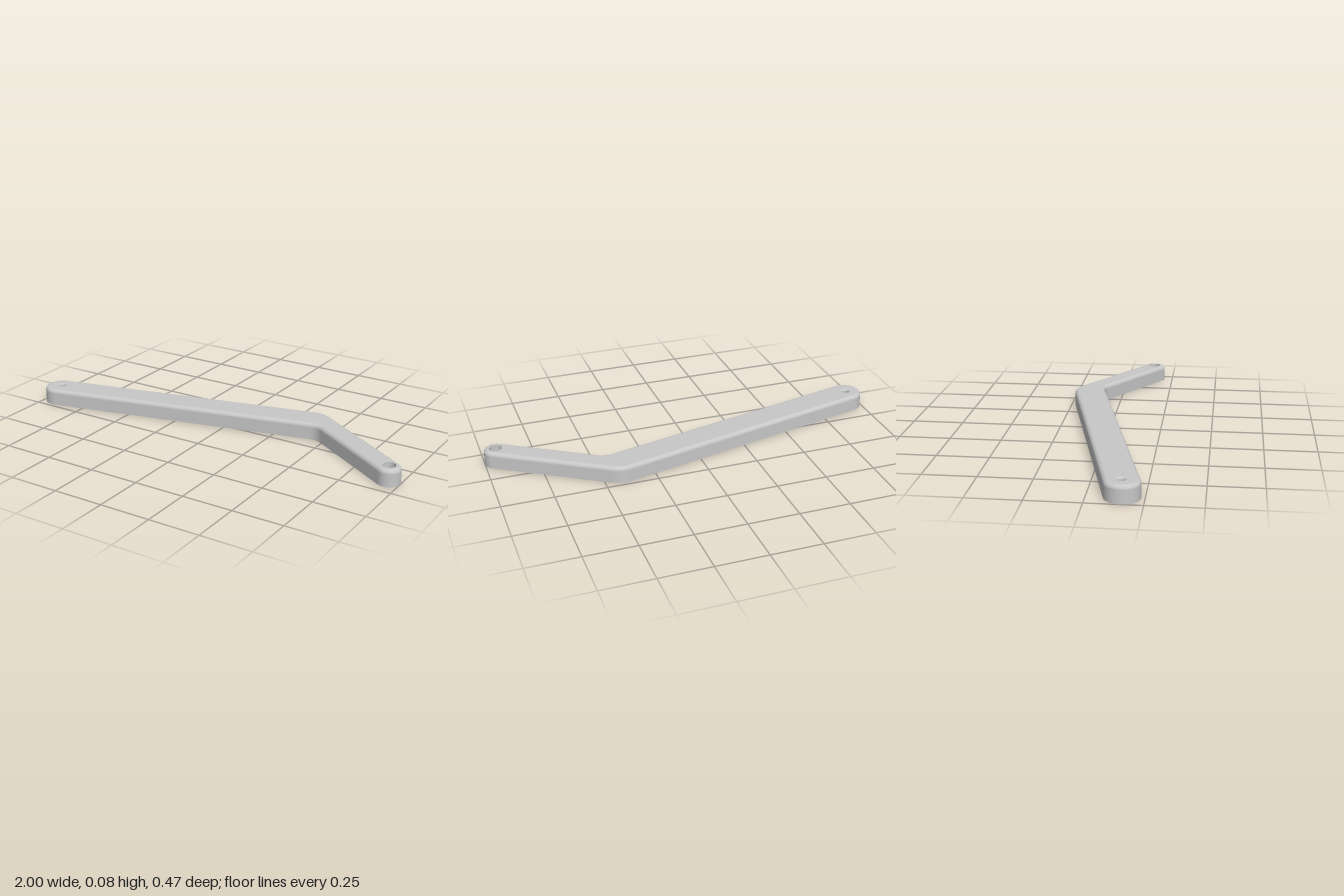
import * as THREE from 'three';

const HEIGHT = 0.082, FILLET = 0.02, STEPS = 12;
// End centres in plan (x, -z), their radii, and the direction of each arm
const A = { x: -0.92, v: -0.154, r: 0.08, dir: Math.atan(0.233) };
const B = { x: 0.944, v: -0.15, r: 0.056, dir: -Math.atan(0.63) };
const HOLE_A = { x: -0.919, v: -0.15 }, HOLE_B = { x: 0.944, v: -0.148 };
const BORE = 0.055, BORE_TOP = 0.062, PIN = 0.016, PIN_RIM = 0.027, HOLE = 0.03;

// Centre of a rounded bend of signed radius r, on the upper (s = 1) or lower (s = -1) edge
function bendCentre(s, r) {
  const [p, q] = [A, B].map(e => {
    const n = [-Math.sin(e.dir), Math.cos(e.dir)];
    return { n, d: e.x * n[0] + e.v * n[1] + s * (e.r - r) };
  });
  const det = p.n[0] * q.n[1] - p.n[1] * q.n[0];
  return { x: (p.d * q.n[1] - q.d * p.n[1]) / det, v: (p.n[0] * q.d - q.n[0] * p.d) / det, r };
}

// Outline as four arcs: right end, outer bend, left end, inner bend
const H = Math.PI / 2;
const arcs = [
  [B, B.dir - H, B.dir + H],
  [bendCentre(1, 0.13), B.dir + H, A.dir + H],
  [A, A.dir + H, A.dir + 3 * H],
  [bendCentre(-1, -0.085), A.dir - H, B.dir - H],
];

function outline(inset) {
  const pts = [];
  for (const [c, a0, a1] of arcs) {
    const n = Math.abs(a1 - a0) > 2 ? 32 : 12;
    for (let i = 0; i <= n; i++) {
      const t = a0 + (a1 - a0) * i / n, r = c.r - inset;
      pts.push({ x: c.x + r * Math.cos(t), v: c.v + r * Math.sin(t), t });
    }
  }
  return pts;
}

// Side wall with a rounded top edge
function wallGeometry() {
  const rows = [{ inset: 0, y: 0, phi: 0 }];
  for (let k = 0; k <= STEPS; k++) {
    const phi = H * k / STEPS;
    rows.push({ inset: FILLET * (1 - Math.cos(phi)), y: HEIGHT - FILLET + FILLET * Math.sin(phi), phi });
  }
  const pos = [], nor = [], idx = [];
  const n = outline(0).length;
  rows.forEach(({ inset, y, phi }, k) => {
    outline(inset).forEach(({ x, v, t }, i) => {
      pos.push(x, y, -v);
      nor.push(Math.cos(phi) * Math.cos(t), Math.sin(phi), -Math.cos(phi) * Math.sin(t));
      if (k === rows.length - 1) return;
      const a = k * n + i, b = k * n + (i + 1) % n;
      idx.push(a, b, b + n, a, b + n, a + n);
    });
  });
  const g = new THREE.BufferGeometry();
  g.setAttribute('position', new THREE.Float32BufferAttribute(pos, 3));
  g.setAttribute('normal', new THREE.Float32BufferAttribute(nor, 3));
  g.setIndex(idx);
  return g;
}

// Flat face at height y with its two holes
function faceGeometry(y, inset, holeA, holeB) {
  const shape = new THREE.Shape(outline(inset).map(p => new THREE.Vector2(p.x, p.v)));
  for (const [c, r] of [[HOLE_A, holeA], [HOLE_B, holeB]]) {
    shape.holes.push(new THREE.Path().absarc(c.x, c.v, r, 0, Math.PI * 2, true));
  }
  return new THREE.ShapeGeometry(shape, 24).rotateX(-H).translate(0, y, 0);
}

export function createModel() {
  const group = new THREE.Group();
  group.name = 'bentArm';
  const grey = new THREE.MeshStandardMaterial({ color: 0xc7c7c7, side: THREE.DoubleSide });
  grey.name = 'grey';
  const add = (name, geometry) => {
    const mesh = new THREE.Mesh(geometry, grey);
    mesh.name = name;
    group.add(mesh);
    return mesh;
  };
  const lathe = (name, c, pts) => {
    const g = new THREE.LatheGeometry(pts.map(p => new THREE.Vector2(...p)), 48);
    add(name, g).position.set(c.x, 0, -c.v);
  };

  add('sideWall', wallGeometry());
  add('topFace', faceGeometry(HEIGHT, FILLET, PIN_RIM, HOLE));
  // Underside, turned to face down
  const under = faceGeometry(0, 0, BORE, HOLE);
  under.setIndex(Array.from(under.index.array).reverse());
  under.computeVertexNormals();
  add('bottomFace', under);

  // Through hole at the narrow end
  lathe('throughHole', HOLE_B, [[HOLE, 0], [HOLE, HEIGHT]]);

  // Recess below the wide end, opening into a small hole with a rounded rim
  lathe('recessWall', HOLE_A, [[BORE, 0], [BORE, BORE_TOP]]);
  lathe('recessCeiling', HOLE_A, [[BORE, BORE_TOP], [PIN, BORE_TOP]]);
  const rim = PIN_RIM - PIN, profile = [[PIN, BORE_TOP]];
  for (let i = 0; i <= 8; i++) {
    const t = H * i / 8;
    profile.push([PIN_RIM - rim * Math.cos(t), HEIGHT - rim + rim * Math.sin(t)]);
  }
  lathe('pinHole', HOLE_A, profile);
  return group;
}
